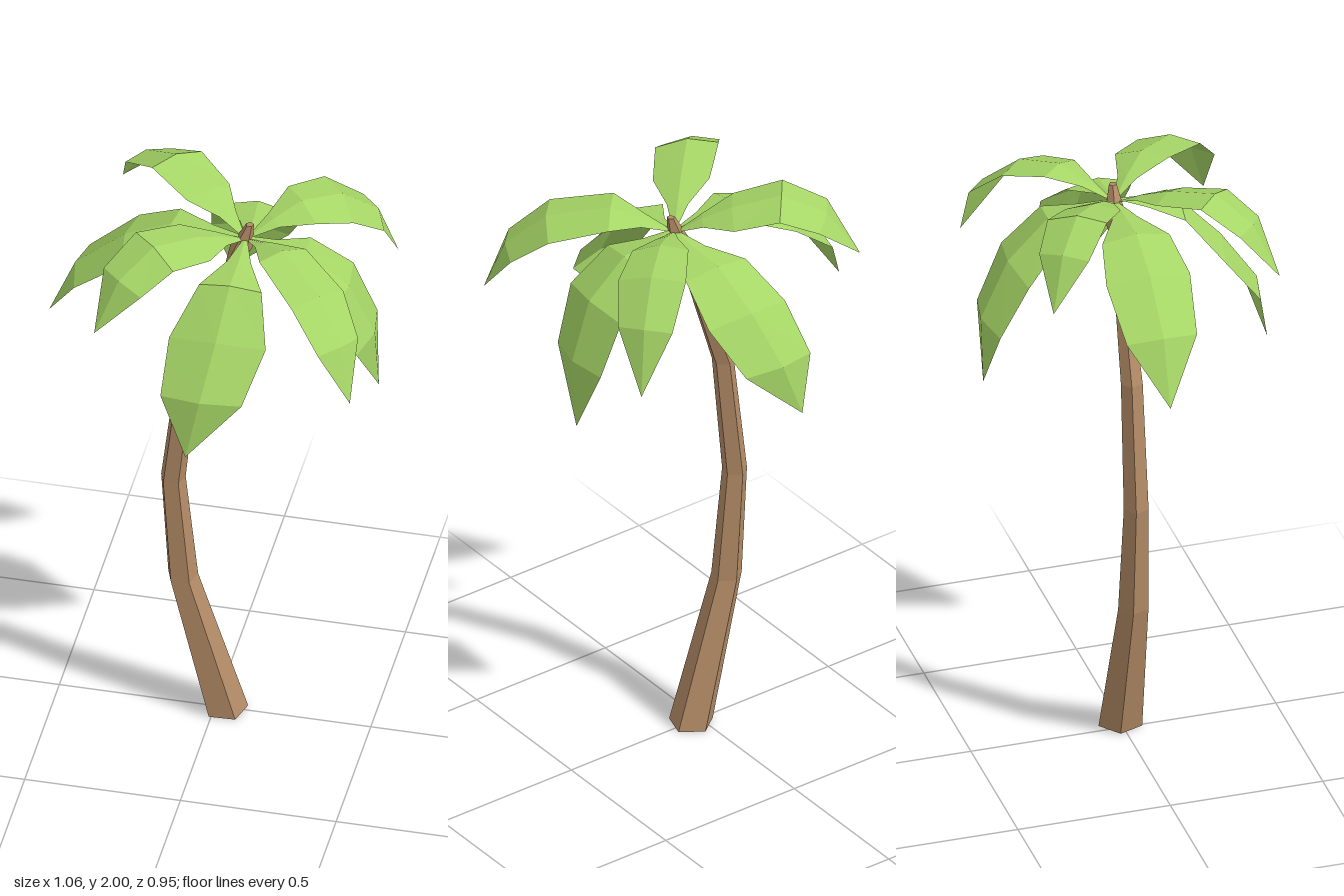
import * as THREE from 'three';

const bark = new THREE.MeshStandardMaterial({ color: 0xb48c67, flatShading: true, side: THREE.DoubleSide });
bark.name = 'bark brown';
const leafGreen = new THREE.MeshStandardMaterial({ color: 0xa6d666, flatShading: true, side: THREE.DoubleSide });
leafGreen.name = 'leaf green';

function facetedGeometry(points, index) {
  const indexed = new THREE.BufferGeometry().setFromPoints(points);
  indexed.setIndex(index);
  const geometry = indexed.toNonIndexed();
  geometry.computeVertexNormals();
  return geometry;
}

// Five-sided trunk, open at the foot, lofted through rings of [centre x, y, radius]
function makeTrunk() {
  const rings = [
    [0.033, 0, 0.072], [-0.105, 0.5, 0.05], [-0.136, 0.88, 0.041], [-0.09, 1.31, 0.036],
    [0.055, 1.75, 0.024], [0.082, 1.82, 0.037], [0.112, 1.92, 0.013],
  ];
  const sides = 5, points = [], index = [];
  for (const [cx, y, r] of rings) {
    for (let i = 0; i < sides; i++) {
      const a = -0.35 + (i / sides) * Math.PI * 2;
      points.push(new THREE.Vector3(cx + r * Math.cos(a), y, r * Math.sin(a)));
    }
  }
  for (let k = 0; k < rings.length - 1; k++) {
    for (let i = 0; i < sides; i++) {
      const a = k * sides + i, b = k * sides + (i + 1) % sides;
      index.push(a, a + sides, b, b, a + sides, b + sides);
    }
  }
  // Top cap
  const last = (rings.length - 1) * sides;
  for (let i = 1; i < sides - 1; i++) index.push(last, last + i + 1, last + i);
  return new THREE.Mesh(facetedGeometry(points, index), bark);
}

// Folded leaf: stations of [distance out, rib height, half width], with the rib
// drifting sideways towards the tip, the edges folded down and the blade rolled
function makeFrond(degrees, drift, roll, stations) {
  const a = THREE.MathUtils.degToRad(degrees);
  const out = new THREE.Vector3(Math.cos(a), 0, Math.sin(a));
  const side = new THREE.Vector3(-Math.sin(a), 0, Math.cos(a));
  // Narrow stalk before the blade widens
  const [r1, y1, w1] = stations[0];
  const stalk = [[0.018, 1.87, 0.008], [r1 * 0.48, 1.87 + (y1 - 1.87) * 0.5, w1 * 0.38]];
  const all = [...stalk, ...stations];
  const end = all.length - 1;
  const points = [], index = [];
  all.forEach(([r, y, w], k) => {
    const t = Math.max(k - 1, 0) / (end - 1);
    const rib = new THREE.Vector3(0.1, y, 0)
      .addScaledVector(out, r).addScaledVector(side, drift * t * t);
    // Leaf normal from the slope between the neighbouring stations
    const before = all[Math.max(k - 1, 0)], after = all[Math.min(k + 1, end)];
    const slope = out.clone().multiplyScalar(after[0] - before[0]);
    slope.y = after[1] - before[1];
    const normal = side.clone().cross(slope).normalize();
    for (const s of [-1, 0, 1]) {
      points.push(rib.clone().addScaledVector(side, s * w)
        .addScaledVector(normal, (s * roll - Math.abs(s) * 0.22) * w));
    }
  });
  for (let k = 0; k < end; k++) {
    for (const j of [0, 1]) {
      const i = k * 3 + j;
      if (k < end - 1) index.push(i, i + 1, i + 3, i + 1, i + 4, i + 3);
      else index.push(i, i + 1, end * 3 + 1); // pointed tip
    }
  }
  return new THREE.Mesh(facetedGeometry(points, index), leafGreen);
}

export function createModel() {
  const palm = new THREE.Group();
  palm.name = 'palmTree';

  const trunk = makeTrunk();
  trunk.name = 'trunk';
  palm.add(trunk);

  const crown = new THREE.Group();
  crown.name = 'crown';
  const fronds = {
    // Low, drooping fronds
    leftFrond: [3, -0.07, 0, [[0.19, 1.84, 0.11], [0.33, 1.73, 0.143], [0.408, 1.545, 0.122], [0.412, 1.32, 0]]],
    frontFrond: [90, 0.09, 0, [[0.215, 1.835, 0.1], [0.342, 1.7, 0.155], [0.453, 1.54, 0.13], [0.475, 1.34, 0]]],
    rightFrond: [180, 0.01, 0, [[0.24, 1.882, 0.11], [0.39, 1.815, 0.137], [0.55, 1.675, 0.115], [0.635, 1.47, 0]]],
    backFrond: [270, -0.15, 0, [[0.22, 1.845, 0.115], [0.36, 1.73, 0.148], [0.463, 1.565, 0.125], [0.475, 1.375, 0]]],
    // High, arching fronds between them
    frontLeftFrond: [42, 0.03, 0.16, [[0.2, 1.94, 0.09], [0.405, 1.89, 0.105], [0.535, 1.775, 0.085], [0.602, 1.6, 0]]],
    frontRightFrond: [133, 0, 0.16, [[0.19, 1.95, 0.09], [0.352, 1.982, 0.1], [0.485, 1.905, 0.087], [0.578, 1.74, 0]]],
    backRightFrond: [218, -0.02, -0.16, [[0.18, 1.955, 0.09], [0.337, 2, 0.1], [0.48, 1.935, 0.087], [0.583, 1.78, 0]]],
    backLeftFrond: [319, -0.02, -0.16, [[0.2, 1.94, 0.09], [0.345, 1.912, 0.11], [0.478, 1.8, 0.09], [0.555, 1.6, 0]]],
  };
  for (const [name, [degrees, drift, roll, stations]] of Object.entries(fronds)) {
    const frond = makeFrond(degrees, drift, roll, stations);
    frond.name = name;
    crown.add(frond);
  }
  palm.add(crown);
  return palm;
}
